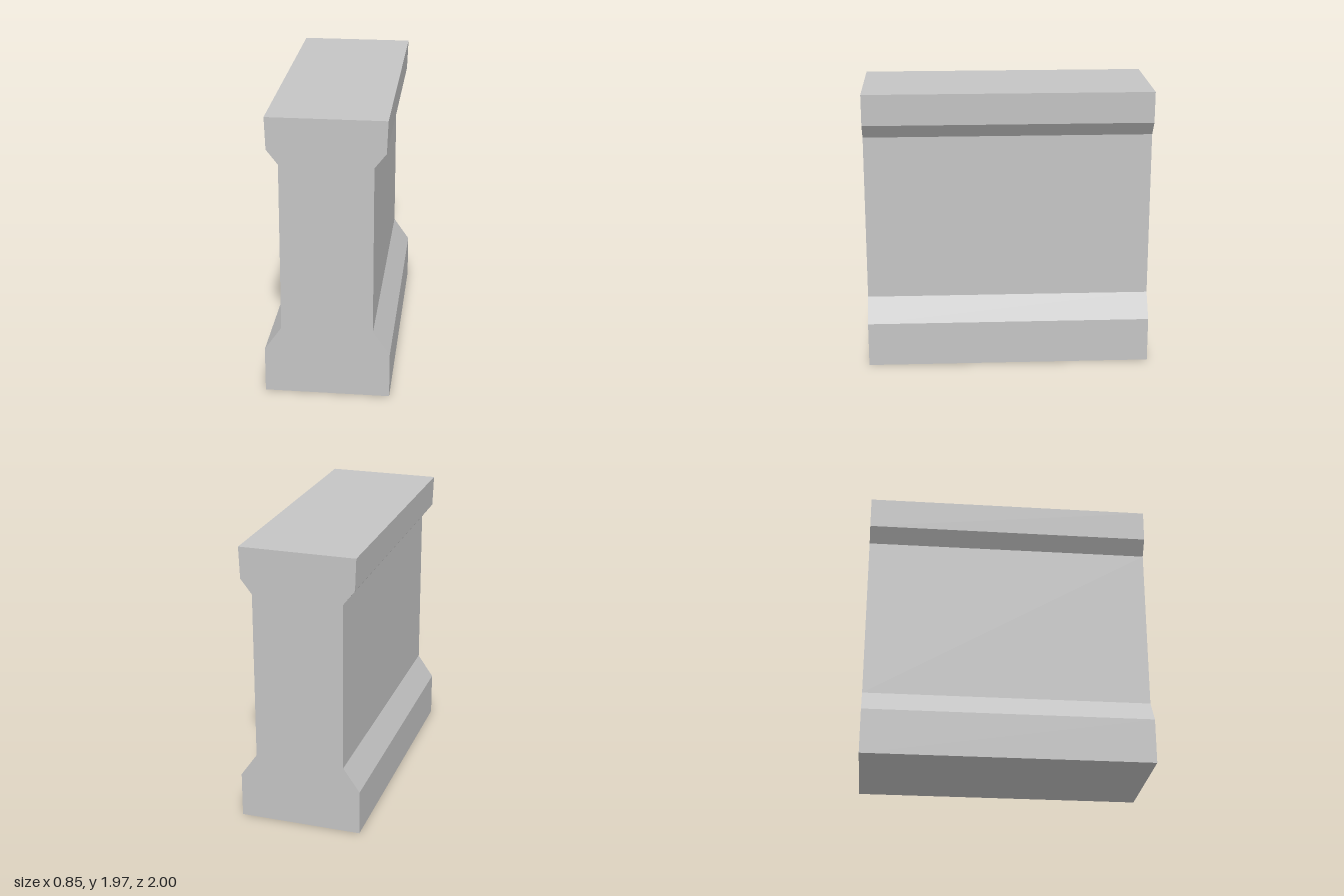
import * as THREE from 'three';

export function createModel() {
  const model = new THREE.Group();
  model.name = 'beamSegment';

  const concrete = new THREE.MeshStandardMaterial({ color: 0xc4c4c4 });
  concrete.name = 'concrete grey';

  // Half profile (half width, height) from the foot to the top flange
  const half = [
    [0.425, 0], [0.425, 0.315], [0.31, 0.48],
    [0.31, 1.65], [0.388, 1.75], [0.396, 1.967],
  ];
  // Mirror it into a closed counter-clockwise outline
  const outline = [...half, ...half.map(([x, y]) => [-x, y]).reverse()];
  const shape = new THREE.Shape(outline.map(([x, y]) => new THREE.Vector2(x, y)));

  // Extrude along the beam and centre on z
  const length = 2;
  const geometry = new THREE.ExtrudeGeometry(shape, { depth: length, bevelEnabled: false });
  geometry.translate(0, 0, -length / 2);

  const beam = new THREE.Mesh(geometry, concrete);
  beam.name = 'flangedBeam';
  model.add(beam);
  return model;
}
